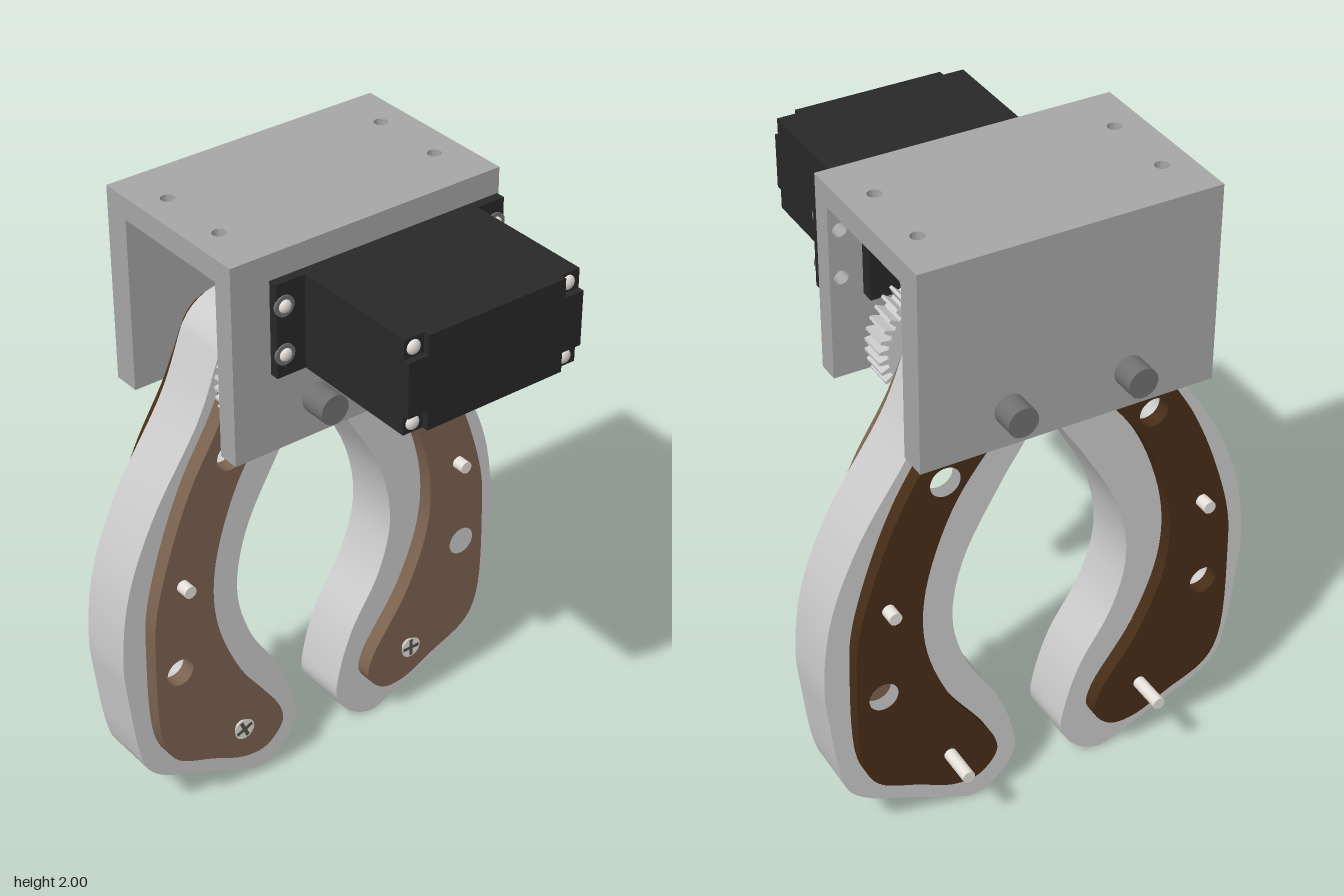
import * as THREE from 'three';
import { toCreasedNormals } from 'three/addons/utils/BufferGeometryUtils.js';

const paint = (color) => new THREE.MeshStandardMaterial({ color });
const grey = paint(0xcccccc), bracketGrey = paint(0xa6a6a6), steel = paint(0x707070);
const bright = paint(0xe6e0da), black = paint(0x282828), dark = paint(0x55524e);
const brownFront = paint(0x7c6350), brownBack = paint(0x472d17);

const PIVOT_X = 0.185, PIVOT_Y = 1.5;

export function createModel() {
  const root = new THREE.Group();

  function add(parent, name, geometry, material) {
    const mesh = new THREE.Mesh(geometry, material);
    mesh.name = name;
    parent.add(mesh);
    return mesh;
  }
  function group(name) {
    const g = new THREE.Group();
    g.name = name;
    root.add(g);
    return g;
  }
  // Box given by its limits on each axis
  function box(parent, name, x0, x1, y0, y1, z0, z1, material) {
    const m = add(parent, name, new THREE.BoxGeometry(x1 - x0, y1 - y0, z1 - z0), material);
    m.position.set((x0 + x1) / 2, (y0 + y1) / 2, (z0 + z1) / 2);
    return m;
  }
  // Cylinder along z, from z0 (radius r0) to z1 (radius r1)
  function rod(parent, name, x, y, z0, z1, r0, material, r1 = r0) {
    const m = add(parent, name, new THREE.CylinderGeometry(r1, r0, z1 - z0, 32), material);
    m.rotation.x = Math.PI / 2;
    m.position.set(x, y, (z0 + z1) / 2);
    return m;
  }
  function dome(parent, name, x, y, z, r) {
    const m = add(parent, name, new THREE.SphereGeometry(r, 20, 8, 0, Math.PI * 2, 0, Math.PI / 2), bright);
    m.rotation.x = Math.PI / 2;
    m.scale.y = 0.6;
    m.position.set(x, y, z);
  }
  // Shape extruded along z between two limits
  function plate(parent, name, shape, z0, z1, material) {
    const geo = new THREE.ExtrudeGeometry(shape, { depth: z1 - z0, bevelEnabled: false, curveSegments: 24 });
    const m = add(parent, name, toCreasedNormals(geo, 0.5), material);
    m.position.z = z0;
    return m;
  }
  function rectangle(x0, x1, y0, y1, Type = THREE.Shape) {
    return new Type([[x0, y0], [x1, y0], [x1, y1], [x0, y1]].map((p) => new THREE.Vector2(...p)));
  }
  function punch(shape, x, y, r) {
    shape.holes.push(new THREE.Path().absarc(x, y, r, 0, Math.PI * 2, true));
  }

  // Bracket: channel open at both sides and below
  const bracket = group('bracket');
  const flangeScrews = [[-0.31, 1.7], [-0.31, 1.85], [0.42, 1.7], [0.42, 1.85]];
  const front = rectangle(-0.46, 0.455, 1.38, 1.93);
  front.holes.push(rectangle(-0.24, 0.355, 1.63, 1.92, THREE.Path));
  flangeScrews.forEach(([x, y]) => punch(front, x, y, 0.022));
  plate(bracket, 'bracketFrontWall', front, 0.024, 0.093, bracketGrey);
  box(bracket, 'bracketBackWall', -0.46, 0.455, 1.38, 1.93, -0.484, -0.396, bracketGrey);
  const top = rectangle(-0.46, 0.455, -0.093, 0.484);
  for (const x of [-0.37, 0.365]) for (const y of [0.08, 0.32]) punch(top, x, y, 0.021);
  const lid = plate(bracket, 'bracketTop', top, 0, 0.07, bracketGrey);
  lid.rotation.x = -Math.PI / 2;
  lid.position.set(0, 1.93, 0);

  // Servo motor: body, notched end cap, mounting flange, horn
  const servo = group('servo');
  box(servo, 'servoBody', -0.24, 0.355, 1.63, 1.92, -0.02, 0.54, black);
  box(servo, 'servoCapWide', -0.24, 0.355, 1.69, 1.86, 0.54, 0.56, black);
  box(servo, 'servoCapUpper', -0.175, 0.29, 1.86, 1.92, 0.54, 0.56, black);
  box(servo, 'servoCapLower', -0.175, 0.29, 1.63, 1.69, 0.54, 0.56, black);
  box(servo, 'servoFlange', -0.335, 0.45, 1.63, 1.92, 0.093, 0.122, black);
  rod(servo, 'servoHorn', 0.2, 1.775, -0.042, -0.02, 0.075, black, 0.088);
  for (const x of [-0.21, 0.315]) for (const y of [1.66, 1.89]) dome(servo, 'caseScrew', x, y, 0.54, 0.022);
  for (const [x, y] of flangeScrews) {
    rod(servo, 'flangeWasher', x, y, 0.12, 0.127, 0.032, steel);
    dome(servo, 'flangeScrew', x, y, 0.127, 0.02);
  }

  // Spur gears
  function gear(name, x, y, teeth, root_, tip, phase, z0, z1) {
    const pts = [], step = (Math.PI * 2) / teeth;
    for (let i = 0; i < teeth; i++) {
      for (const [f, r] of [[-0.32, root_], [-0.13, tip], [0.13, tip], [0.32, root_]]) {
        const a = (i + f + phase) * step;
        pts.push(new THREE.Vector2(r * Math.cos(a), r * Math.sin(a)));
      }
    }
    plate(root, name, new THREE.Shape(pts), z0, z1, grey).position.set(x, y, z0);
  }
  gear('rightGear', -PIVOT_X, PIVOT_Y, 36, 0.168, 0.197, 0, -0.114, -0.025);
  gear('leftGear', PIVOT_X, PIVOT_Y, 36, 0.168, 0.197, 0.5, -0.114, -0.025);
  gear('driveGear', 0.2, 1.775, 18, 0.076, 0.105, 0, -0.114, -0.042);

  // Finger outline: curve down the outside, round the tip, up the inside, then the pivot arc
  const padPath = [[0.4, 1.38], [0.575, 1.1], [0.67, 0.865], [0.7, 0.63], [0.688, 0.48], [0.662, 0.29],
    [0.635, 0.205], [0.575, 0.15], [0.43, 0.085], [0.285, 0.02], [0.22, 0.0], [0.135, 0.04], [0.082, 0.125],
    [0.09, 0.21], [0.14, 0.36], [0.245, 0.54], [0.29, 0.72], [0.255, 0.92], [0.13, 1.155], [0.047, 1.29], [0.03, 1.39]];
  const cheekPath = [[0.365, 1.38], [0.47, 1.2], [0.55, 1.01], [0.61, 0.8], [0.62, 0.66], [0.607, 0.325],
    [0.56, 0.238], [0.43, 0.175], [0.31, 0.122], [0.23, 0.125], [0.17, 0.19], [0.18, 0.257], [0.32, 0.47],
    [0.4, 0.69], [0.4, 0.89], [0.31, 1.155], [0.19, 1.325], [0.1, 1.43]];

  function fingerShape(path, r, side) {
    const arc = (deg) => {
      const a = THREE.MathUtils.degToRad(deg);
      return new THREE.Vector3(PIVOT_X + r * Math.cos(a), PIVOT_Y + r * Math.sin(a), 0);
    };
    const knots = [arc(25), ...path.map(([x, y]) => new THREE.Vector3(x, y, 0)), arc(180)];
    const pts = new THREE.CatmullRomCurve3(knots, false, 'centripetal').getPoints(120);
    for (let d = 170; d > 26; d -= 10) pts.push(arc(d));
    const shape = new THREE.Shape(pts.map((p) => new THREE.Vector2(side * p.x, p.y)));
    punch(shape, side * 0.333, 1.252, 0.047);
    punch(shape, side * 0.537, 0.565, 0.046);
    return shape;
  }

  for (const side of [-1, 1]) {
    const finger = group(side > 0 ? 'leftFinger' : 'rightFinger');
    plate(finger, 'fingerCore', fingerShape(padPath, 0.155, side), -0.35, -0.165, grey);
    const cheek = fingerShape(cheekPath, 0.115, side);
    plate(finger, 'frontCheek', cheek, -0.165, -0.114, brownFront);
    plate(finger, 'backCheek', cheek, -0.396, -0.35, brownBack);

    // Pivot shaft, its spacer, and the cross pin
    rod(finger, 'pivotShaft', side * PIVOT_X, PIVOT_Y, -0.56, 0.18, 0.046, steel);
    rod(finger, 'pivotSpacer', side * PIVOT_X, PIVOT_Y, -0.025, 0.024, 0.092, grey);
    rod(finger, 'crossPin', side * 0.515, 0.875, -0.44, -0.073, 0.02, bright);

    // Tip screw with a cross-slot head
    const sx = side * 0.326;
    rod(finger, 'tipScrewShank', sx, 0.25, -0.51, -0.11, 0.02, bright);
    rod(finger, 'tipScrewHead', sx, 0.25, -0.118, -0.096, 0.02, bright, 0.036);
    for (const turn of [0, Math.PI / 2]) {
      const slot = box(finger, 'tipScrewSlot', sx - 0.03, sx + 0.03, 0.244, 0.256, -0.1, -0.095, dark);
      slot.rotation.z = turn + (side < 0 ? 0.4 : 0);
    }
  }

  return root;
}
